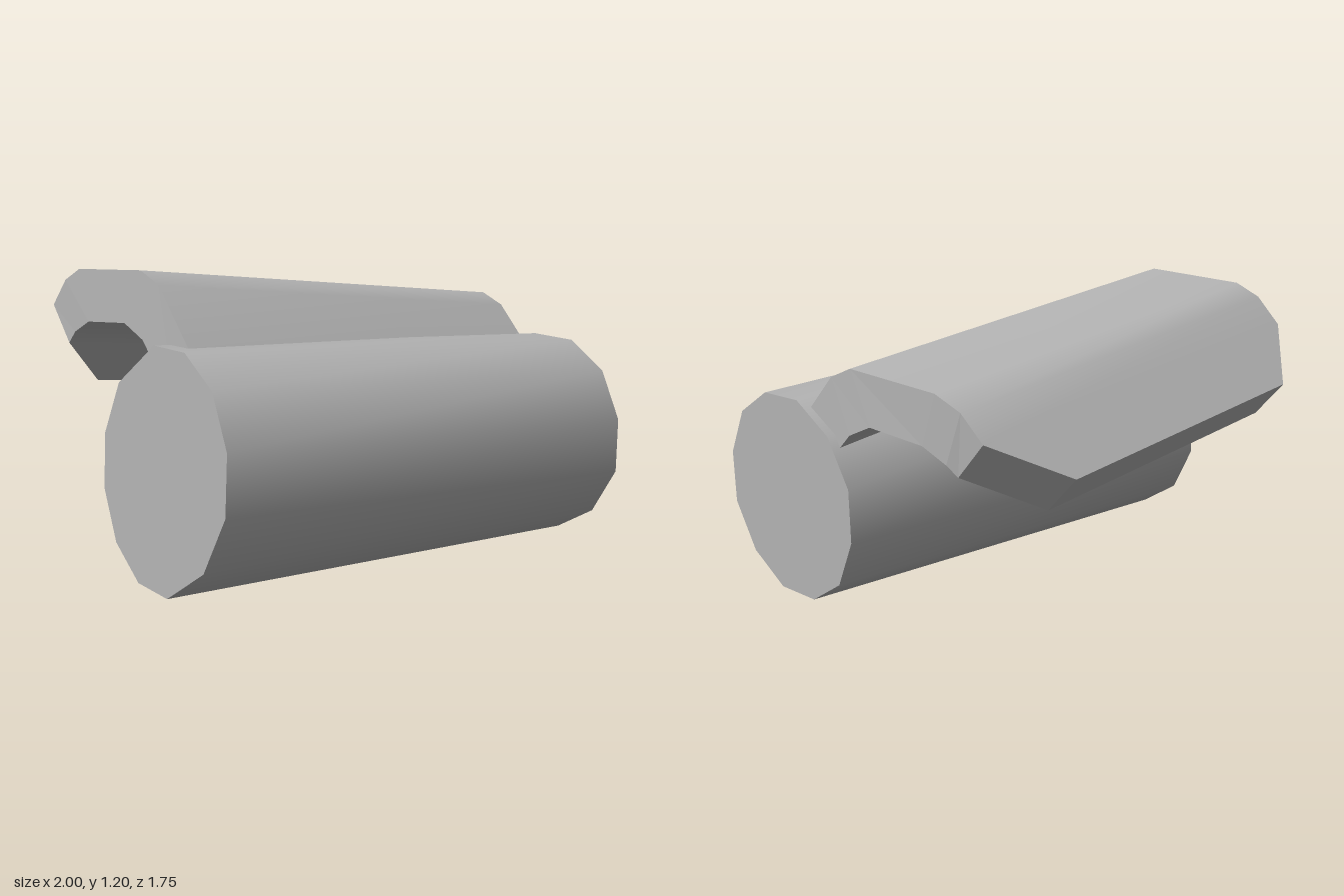
import * as THREE from 'three';
import { mergeVertices } from 'three/addons/utils/BufferGeometryUtils.js';

// Surface between two rows of points, smooth or faceted.
function strip(name, a, b, material, smooth = false) {
  const pos = [];
  for (let i = 0; i < a.length - 1; i++) {
    pos.push(...a[i], ...b[i], ...b[i + 1], ...a[i], ...b[i + 1], ...a[i + 1]);
  }
  let geo = new THREE.BufferGeometry();
  geo.setAttribute('position', new THREE.Float32BufferAttribute(pos, 3));
  if (smooth) geo = mergeVertices(geo, 1e-4);
  geo.computeVertexNormals();
  const mesh = new THREE.Mesh(geo, material);
  mesh.name = name;
  return mesh;
}

export function createModel() {
  const model = new THREE.Group();
  model.name = 'rollWithFlap';
  const grey = new THREE.MeshStandardMaterial({ color: 0xb4b4b4 });
  grey.name = 'grey';

  // Roll: twelve-sided ends as [z, y], each end cap slightly tilted
  const roll = new THREE.Group();
  roll.name = 'roll';
  const rightEnd = [
    [0.345, 0.94], [0.575, 0.935], [0.77, 0.82], [0.875, 0.62], [0.87, 0.39], [0.725, 0.16],
    [0.46, 0.004], [0.23, 0.01], [0.04, 0.13], [-0.065, 0.33], [-0.06, 0.555], [0.06, 0.77],
  ].map(([z, y]) => [-1 + 0.027 * y, y, z]);
  const leftEnd = [
    [0.30, 0.865], [0.53, 0.855], [0.72, 0.74], [0.825, 0.54], [0.825, 0.315], [0.70, 0.12],
    [0.50, 0.01], [0.27, 0.02], [0.08, 0.14], [-0.02, 0.345], [-0.02, 0.565], [0.10, 0.755],
  ].map(([z, y]) => [0.98 + 0.023 * y, y, z]);
  const closed = (ring) => [...ring, ring[0]];
  const halves = (ring) => [ring.slice(0, 6), ring.slice(6).reverse()];
  const [rightFront, rightBack] = halves(rightEnd);
  const [leftFront, leftBack] = halves(leftEnd);
  roll.add(
    strip('rollSide', closed(leftEnd), closed(rightEnd), grey, true),
    strip('rollRightCap', rightFront, rightBack, grey),
    strip('rollLeftCap', leftBack, leftFront, grey),
  );

  // Flap: arched slab from inside the roll to a bevelled back edge, points [x, y, z]
  const flap = new THREE.Group();
  flap.name = 'flap';
  const outerR = [
    [-0.895, 0.86, 0.535], [-0.905, 1.155, 0.26], [-0.915, 1.205, 0.135],
    [-0.95, 1.19, -0.335], [-0.96, 1.14, -0.45], [-0.967, 1.03, -0.56], [-0.74, 0.83, -0.77],
  ];
  const innerR = [
    [-0.905, 0.70, 0.38], [-0.92, 0.94, 0.15], [-0.93, 0.995, 0.02],
    [-0.95, 0.98, -0.26], [-0.957, 0.93, -0.375], [-0.962, 0.88, -0.425], [-0.735, 0.68, -0.635],
  ];
  const outerL = [
    [0.967, 0.77, 0.32], [0.958, 0.985, 0.115], [0.95, 1.035, 0],
    [0.925, 1.02, -0.475], [0.91, 0.97, -0.60], [0.893, 0.87, -0.70], [0.60, 0.72, -0.87],
  ];
  const innerL = [
    [0.965, 0.61, 0.17], [0.957, 0.77, 0.01], [0.948, 0.825, -0.11],
    [0.927, 0.81, -0.40], [0.913, 0.76, -0.52], [0.895, 0.72, -0.565], [0.605, 0.57, -0.73],
  ];
  flap.add(
    strip('flapOuter', outerR, outerL, grey, true),
    strip('flapInner', innerL, innerR, grey, true),
    strip('flapLeftEdge', outerL, innerL, grey),
    strip('flapRightEdge', innerR, outerR, grey),
    strip('flapBackEdge', [outerR[6], innerR[6]], [outerL[6], innerL[6]], grey),
    strip('flapRoot', [innerR[0], outerR[0]], [innerL[0], outerL[0]], grey),
  );

  model.add(roll, flap);
  return model;
}
